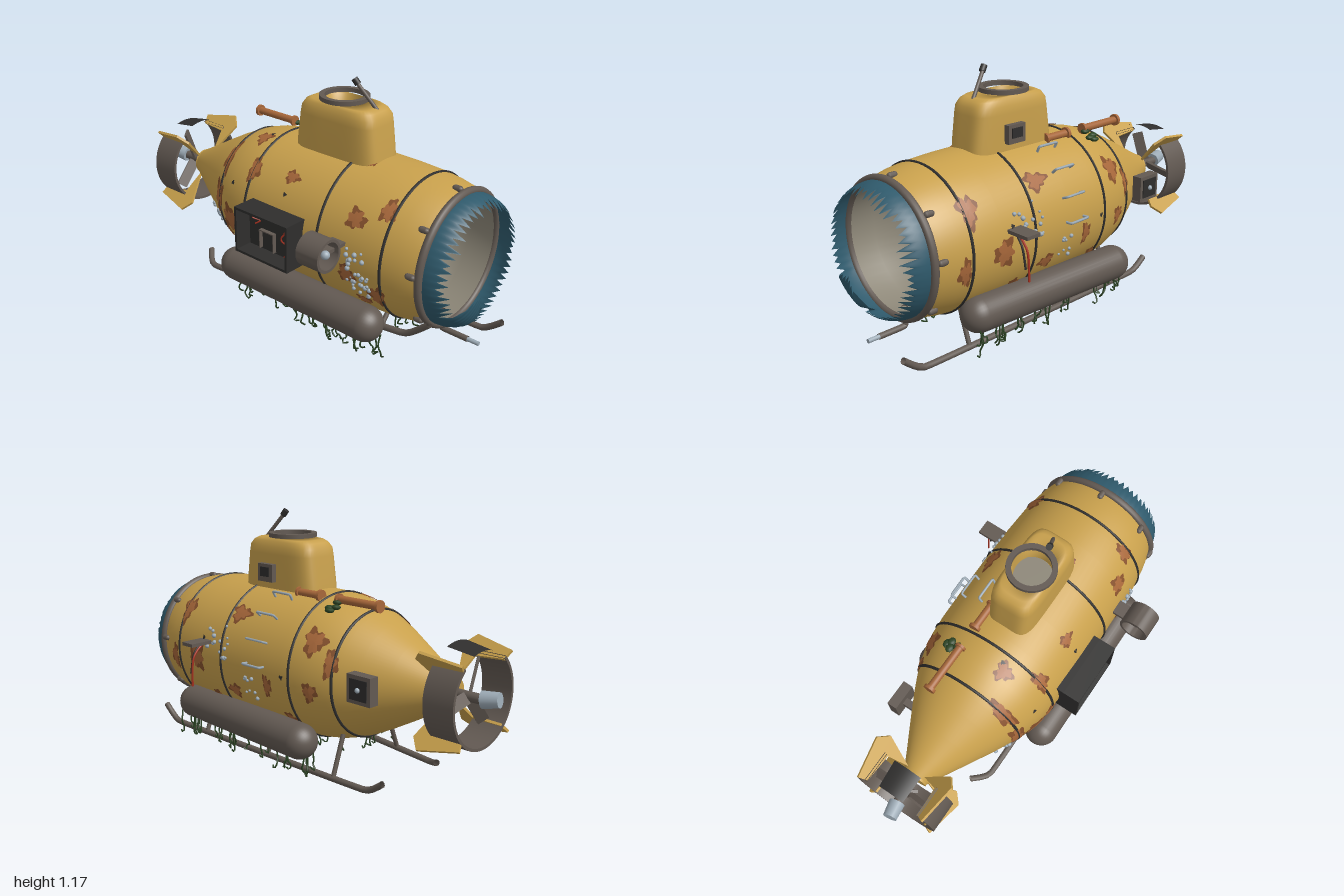
import * as THREE from 'three';
import { mergeGeometries, toCreasedNormals } from 'three/addons/utils/BufferGeometryUtils.js';

const mat = (name, color) => new THREE.MeshStandardMaterial({ name, color, side: THREE.DoubleSide });
const V = (p) => new THREE.Vector3(...p);
const CY = 0.475, CZ = -0.045, RAD = Math.PI / 180;

// hull radius along x
const PROFILE = [[-0.78, 0.065], [-0.7, 0.108], [-0.58, 0.175], [-0.46, 0.24], [-0.38, 0.279], [-0.32, 0.304], [-0.25, 0.325],
  [-0.17, 0.339], [-0.08, 0.346], [0.1, 0.35], [0.3, 0.35], [0.5, 0.347], [0.62, 0.341], [0.72, 0.329], [0.79, 0.314], [0.83, 0.3]];
function hullR(x) {
  let i = 1;
  while (i < PROFILE.length - 1 && PROFILE[i][0] < x) i++;
  const [x0, r0] = PROFILE[i - 1], [x1, r1] = PROFILE[i];
  return r0 + (r1 - r0) * (x - x0) / (x1 - x0);
}
// point on the hull: a = 0 is the top, 90 degrees the front
const onHull = (x, a, lift = 0) => [x, CY + (hullR(x) + lift) * Math.cos(a), CZ + (hullR(x) + lift) * Math.sin(a)];

function surface(rows, closed) {
  const n = rows[0].length, idx = [];
  for (let j = 0; j < rows.length - 1; j++)
    for (let i = 0; i < (closed ? n : n - 1); i++) {
      const a = j * n + i, b = j * n + (i + 1) % n;
      idx.push(a, a + n, b, b, a + n, b + n);
    }
  const g = new THREE.BufferGeometry();
  g.setAttribute('position', new THREE.Float32BufferAttribute(rows.flat(2), 3));
  g.setIndex(idx);
  g.computeVertexNormals();
  return g;
}
const latheX = (pts, seg = 48, start = 0, len = Math.PI * 2) =>
  new THREE.LatheGeometry(pts.map(([x, r]) => new THREE.Vector2(r, x)), seg, start, len).rotateZ(-Math.PI / 2);
const shroudGeo = (x0, x1, ri, ro, start, len) =>
  toCreasedNormals(latheX([[x0, ri], [x0, ro], [x1, ro], [x1, ri], [x0, ri]], 48, start, len), 0.6);
const tubeGeo = (pts, r, seg = 16, sides = 8, tension = 0.5) =>
  new THREE.TubeGeometry(new THREE.CatmullRomCurve3(pts.map(V), false, 'catmullrom', tension), seg, r, sides);
function rodGeo(a, b, r, r2 = r) {
  const d = V(b).sub(V(a)), g = new THREE.CylinderGeometry(r2, r, d.length(), 20);
  g.applyQuaternion(new THREE.Quaternion().setFromUnitVectors(V([0, 1, 0]), d.clone().normalize()));
  return g.translate(...V(a).addScaledVector(d, 0.5).toArray());
}
const boxGeo = (x0, x1, y0, y1, z0, z1) =>
  new THREE.BoxGeometry(x1 - x0, y1 - y0, z1 - z0).translate((x0 + x1) / 2, (y0 + y1) / 2, (z0 + z1) / 2);

export function createModel() {
  const root = new THREE.Group();
  root.name = 'wreckedSubmarine';
  const M = {
    yellow: mat('hullYellow', 0xc8a04c), metal: mat('greyMetal', 0x625952), dark: mat('darkMetal', 0x2f2e2d),
    inside: mat('interiorBeige', 0x8d8778), glass: mat('tealGlass', 0x2f5a6c), rust: mat('rust', 0x85502c),
    copper: mat('rustOrange', 0xa7673a), red: mat('wireRed', 0xa83220), weed: mat('weedGreen', 0x2c4424), steel: mat('paleSteel', 0x9dabb6),
  };
  let seed = 7;
  const rnd = (a = 0, b = 1) => { seed = (seed * 16807) % 2147483647; return a + (b - a) * seed / 2147483647; };
  const add = (name, geo, m, pos) => {
    const mesh = new THREE.Mesh(Array.isArray(geo) ? mergeGeometries(geo) : geo, m);
    mesh.name = name;
    if (pos) mesh.position.set(...pos);
    root.add(mesh);
    return mesh;
  };
  const axis = [0, CY, CZ];

  // hull, cabin lining, window rim and seams
  add('hull', latheX(PROFILE, 72), M.yellow, axis);
  add('tailCap', rodGeo([-0.79, 0, 0], [-0.775, 0, 0], 0.064), M.yellow, axis);
  add('cabinLining', latheX([[0.45, 0.001], [0.45, 0.3], [0.7, 0.3], [0.83, 0.285]]), M.inside, axis);
  add('windowRim', new THREE.TorusGeometry(0.303, 0.018, 12, 64).rotateY(Math.PI / 2), M.metal, [0.832, CY, CZ]);
  add('seams', [-0.35, -0.135, 0.32, 0.66].map(x =>
    new THREE.TorusGeometry(hullR(x), 0.007, 6, 72).rotateY(Math.PI / 2).translate(x, CY, CZ)), M.dark);
  add('rimClamps', [48, 85, 132, 180, 228, 275, 312, 0].map(d =>
    new THREE.CapsuleGeometry(0.014, 0.022, 4, 10).rotateZ(Math.PI / 2).translate(...onHull(0.8, d * RAD, 0.006))), M.metal);

  // broken glass dome: jagged teeth with one large shard
  const rows = Array.from({ length: 7 }, () => []);
  for (let i = 0; i < 112; i++) {
    const a = i / 112 * Math.PI * 2, off = Math.abs(i / 112 * 360 - 146);
    let tip = i % 2 ? rnd(0.245, 0.272) : rnd(0.281, 0.29);
    if (off < 19) tip = (i % 2 ? 0.11 : 0.15) + off * 0.003;
    rows.forEach((row, j) => {
      const r = 0.3 - (0.3 - tip) * (j / 6) ** 2;
      row.push([0.838 + 0.157 * Math.sqrt(Math.max(0, 1 - (r / 0.3) ** 5)), CY + r * Math.cos(a), CZ + r * Math.sin(a)]);
    });
  }
  add('brokenWindow', surface(rows, true), M.glass);

  // tower: rounded rectangle loops closing in to a round hatch
  const levels = [[0.77, 0.236, 0.114, 5], [0.84, 0.23, 0.114, 5], [0.97, 0.212, 0.113, 5], [1.005, 0.206, 0.11, 5],
    [1.03, 0.19, 0.1, 4.5], [1.042, 0.165, 0.092, 4], [1.044, 0.1, 0.088, 2], [0.93, 0.1, 0.088, 2]];
  add('tower', surface(levels.map(([y, hx, hz, e]) => Array.from({ length: 64 }, (_, i) => {
    const a = -i / 64 * Math.PI * 2, c = Math.cos(a), s = Math.sin(a);
    const k = (Math.abs(c) ** e + Math.abs(s) ** e) ** (-1 / e);
    return [0.195 + hx * c * k, y, CZ + hz * s * k];
  })).reverse(), true), M.yellow);
  add('hatchFloor', new THREE.CylinderGeometry(0.1, 0.1, 0.01, 32), M.inside, [0.185, 0.95, CZ]);
  add('hatchRing', toCreasedNormals(new THREE.LatheGeometry([[0.09, 1.048], [0.115, 1.048], [0.115, 1.068], [0.09, 1.068], [0.09, 1.048]]
    .map(p => new THREE.Vector2(...p)), 40), 0.6), M.metal, [0.182, 0, CZ]);
  add('periscope', rodGeo([0.365, 1.03, -0.05], [0.27, 1.15, -0.015], 0.009), M.metal);
  add('periscopeHead', rodGeo([0.28, 1.14, -0.017], [0.262, 1.164, -0.011], 0.015), M.dark);
  add('towerPanel', boxGeo(0.18, 0.28, 0.84, 0.925, -0.185, -0.15), M.metal);
  add('towerPanelScreen', boxGeo(0.2, 0.26, 0.865, 0.91, -0.189, -0.184), M.dark);

  // open equipment box with loose wires
  add('equipmentBox', [boxGeo(-0.085, 0.24, 0.36, 0.585, 0.17, 0.32), boxGeo(-0.085, -0.073, 0.36, 0.585, 0.32, 0.405),
    boxGeo(0.228, 0.24, 0.36, 0.585, 0.32, 0.405), boxGeo(-0.085, 0.24, 0.36, 0.372, 0.32, 0.405),
    boxGeo(-0.085, 0.24, 0.573, 0.585, 0.32, 0.405)], M.dark);
  add('equipmentRack', [boxGeo(0.005, 0.01, 0.38, 0.47, 0.32, 0.34), boxGeo(0.09, 0.095, 0.38, 0.47, 0.32, 0.34),
    boxGeo(0.005, 0.095, 0.47, 0.475, 0.32, 0.34)], M.metal);
  add('looseWires', [[-0.03, 0.5], [0.15, 0.39], [0.17, 0.46], [0.19, 0.4]].map(([x, y]) => tubeGeo(
    [0, 1, 2, 3, 4].map(i => [x + (i % 2) * 0.025 + i * 0.004, 0.57 - (0.57 - y) * i / 4, 0.33 + (i % 3) * 0.012]), 0.004, 20, 5)), M.red);

  // side thruster and the torn mount opposite
  add('sideThruster', shroudGeo(0.38, 0.5, 0.062, 0.075), M.metal, [0, 0.55, 0.425]);
  add('sideThrusterStrut', boxGeo(0.405, 0.478, 0.542, 0.558, 0.27, 0.43), M.metal);
  add('sideThrusterHub', new THREE.SphereGeometry(0.02, 16, 12), M.steel, [0.48, 0.55, 0.425]);
  add('tornMount', boxGeo(0.4, 0.476, 0.542, 0.558, -0.5, -0.36), M.metal);
  add('hangingWire', tubeGeo([[0.44, 0.54, -0.4], [0.44, 0.51, -0.44], [0.44, 0.46, -0.468], [0.44, 0.34, -0.475]], 0.005), M.red);
  add('hangingCable', tubeGeo([[0.45, 0.54, -0.41], [0.455, 0.49, -0.45], [0.455, 0.4, -0.47]], 0.005), M.dark);

  // pontoons, the back one knocked askew
  for (const [name, a, b] of [['leftPontoon', [-0.2, 0.2, 0.285], [0.59, 0.2, 0.285]], ['rightPontoon', [-0.2, 0.2, -0.38], [0.6, 0.2, -0.335]]]) {
    const d = V(b).sub(V(a)), m = add(name, new THREE.CapsuleGeometry(0.082, d.length(), 12, 32), M.metal);
    m.quaternion.setFromUnitVectors(V([0, 1, 0]), d.clone().normalize());
    m.position.copy(V(a)).addScaledVector(d, 0.5);
  }

  // skids and struts
  add('leftSkid', tubeGeo([[-0.59, 0.065, 0.11], [-0.5, 0.03, 0.175], [0.1, 0.08, 0.18], [0.72, 0.155, 0.18], [0.85, 0.255, 0.185]], 0.015, 50, 10, 0.15), M.metal);
  add('rightSkid', tubeGeo([[-0.59, 0.075, -0.27], [-0.49, 0.02, -0.27], [0.2, 0.017, -0.27], [0.84, 0.018, -0.27], [0.95, 0.09, -0.27]], 0.015, 50, 10, 0.15), M.metal);
  add('skidStruts', [-0.3, 0.135, 0.6].flatMap((x, i) => [rodGeo([x, 0.02, -0.27], [x, 0.22, -0.2], 0.011),
    rodGeo([x, 0.045 + i * 0.045, 0.18], [x, 0.22, 0.11], 0.011)]), M.metal);
  add('bowPipe', tubeGeo([[0.77, 0.19, CZ], [0.77, 0.1, CZ], [0.79, 0.095, CZ], [0.91, 0.095, CZ]], 0.014, 24, 10, 0.1), M.metal);
  add('bowPipeTip', rodGeo([0.9, 0.095, CZ], [0.965, 0.095, CZ], 0.01), M.steel);

  // tail: broken duct, fins, propeller
  add('tailDuct', shroudGeo(-0.935, -0.785, 0.203, 0.216, 312 * RAD, 276 * RAD), M.metal, axis);
  add('tornDuctPiece', new THREE.CylinderGeometry(0.222, 0.2, 0.13, 8, 1, true, 250 * RAD, 38 * RAD).rotateZ(-Math.PI / 2), M.dark, [-0.86, CY + 0.005, CZ]);
  const fin = new THREE.Shape([[-0.945, 0.25], [-0.755, 0.295], [-0.71, 0.24], [-0.765, 0.07], [-0.79, 0.19], [-0.93, 0.2]].map(p => new THREE.Vector2(...p)));
  add('tailFins', [45, 135, 225, 315].map(d => new THREE.ExtrudeGeometry(fin, { depth: 0.012, bevelEnabled: false })
    .translate(0, 0, -0.006).rotateX(d * RAD)), M.yellow, axis);
  add('propellerShaft', rodGeo([-0.94, 0, 0], [-0.77, 0, 0], 0.022), M.metal, axis);
  add('propellerBlades', [20, 140, 260].map(d => new THREE.BoxGeometry(0.012, 0.15, 0.055).rotateY(0.6)
    .translate(-0.86, 0.095, 0).rotateX(d * RAD)), M.metal, axis);
  add('propellerCap', rodGeo([-1, 0.01, 0.015], [-0.925, 0, 0], 0.033, 0.038), M.steel, axis);

  // lamp box by the tail
  add('lampBox', [boxGeo(-0.58, -0.45, 0.43, 0.555, -0.345, -0.295), boxGeo(-0.535, -0.5, 0.475, 0.51, -0.3, -0.23)], M.metal);
  add('lampFace', boxGeo(-0.563, -0.467, 0.447, 0.538, -0.349, -0.344), M.dark);
  add('lampBulb', new THREE.SphereGeometry(0.012, 12, 8), M.steel, [-0.515, 0.493, -0.35]);

  // broken deck pipe and its plant
  const py = 0.812, pz = -0.155;
  add('deckPipe', [[-0.47, -0.22], [-0.12, 0.03]].flatMap(([a, b]) => [rodGeo([a, py, pz], [b, py, pz], 0.018),
    rodGeo([a, py, pz], [a + 0.015, py, pz], 0.028), rodGeo([b - 0.012, py, pz], [b, py, pz], 0.026)]), M.copper);
  add('deckPlant', [[-0.23, -0.17], [-0.25, -0.2], [-0.22, -0.21], [-0.235, -0.225]].map(([x, z]) =>
    new THREE.SphereGeometry(0.024, 8, 6).scale(1, 0.5, 0.8).translate(x, 0.808 - (pz - z) * 0.5, z)), M.weed);

  // ladder rungs up the back
  add('ladderRungs', [-28, -48, -68, -86].map(d => tubeGeo([[0.02, 0], [0.02, 0.03], [0.13, 0.03], [0.13, 0]]
    .map(([x, l]) => onHull(x, d * RAD, l)), 0.006, 24, 6, 0.1)), M.steel);

  // rust blotches lying on the hull
  const blotch = (x, deg, sx, sv, lift) => {
    const p = rnd(0, 6), q = rnd(0, 6), grid = [0.01, 0.35, 0.7, 1].map(t => Array.from({ length: 30 }, (_, i) => {
      const b = i / 30 * Math.PI * 2, k = t * (0.85 + 0.2 * Math.sin(3 * b + p) + 0.16 * Math.sin(7 * b + q));
      const px = Math.min(0.81, x + sx * k * Math.cos(b));
      return onHull(px, deg * RAD + sv * k * Math.sin(b) / hullR(x), lift);
    }));
    return surface(grid, true);
  };
  const spots = [[-0.35, 45, 0.035, 0.11], [-0.36, 85, 0.04, 0.1], [-0.25, 100, 0.075, 0.08], [-0.16, 92, 0.05, 0.05], [-0.17, 118, 0.04, 0.05],
    [-0.31, 122, 0.04, 0.06], [-0.13, 50, 0.04, 0.07], [-0.21, 20, 0.05, 0.05], [0.1, 46, 0.045, 0.035], [0.5, 58, 0.055, 0.05],
    [0.63, 45, 0.04, 0.06], [0.64, 112, 0.045, 0.06], [0.56, 122, 0.045, 0.03], [0.49, 100, 0.05, 0.05], [0.41, 12, 0.02, 0.03],
    [-0.24, -58, 0.06, 0.07], [0.25, -50, 0.07, 0.05], [0.64, -55, 0.05, 0.08], [-0.34, -72, 0.035, 0.07], [0.5, -92, 0.06, 0.07],
    [0, -100, 0.03, 0.06], [0.24, -112, 0.05, 0.04], [-0.25, -98, 0.04, 0.05], [0.7, -98, 0.035, 0.07], [-0.1, -128, 0.05, 0.05],
    [0.4, -128, 0.05, 0.06], [0.1, 165, 0.07, 0.05], [0.5, 170, 0.06, 0.05]];
  add('rustBlotches', spots.map(s => blotch(...s, 0.004)), M.rust);
  add('rustCentres', spots.map(([x, d, a, b]) => blotch(x, d, a * 0.75, b * 0.75, 0.006)), M.copper);
  add('hullHoles', [[-0.24, 66], [-0.18, 15], [0.1, 60], [-0.1, -90], [0.45, -75]].map(([x, d]) => blotch(x, d, 0.011, 0.011, 0.008)), M.dark);

  // barnacle clusters
  const barnacles = [];
  for (const [x, d, sx, sd, n] of [[0.55, 98, 0.06, 18, 32], [-0.43, 122, 0.04, 18, 16], [0.35, -75, 0.08, 14, 16], [0.1, -105, 0.06, 10, 10]])
    for (let i = 0; i < n; i++)
      barnacles.push(new THREE.SphereGeometry(rnd(0.006, 0.012), 8, 6).translate(...onHull(x + sx * rnd(-1, 1), (d + sd * rnd(-1, 1)) * RAD, 0.003)));
  add('barnacles', barnacles, M.steel);

  // weeds hanging from the pontoons and keel
  const weeds = [];
  for (const [z, y, w, n] of [[0.285, 0.135, 0.03, 26], [-0.37, 0.135, 0.035, 26], [CZ, 0.15, 0.14, 20]])
    for (let i = 0; i < n; i++) {
      const x = rnd(-0.25, 0.66), zz = z + rnd(-w, w), end = rnd(0.035, 0.075), s = () => rnd(-0.012, 0.012);
      weeds.push(tubeGeo([[x, y + 0.02, zz], [x + s(), y * 0.75, zz + s()], [x + s(), end + 0.025, zz + s()], [x + s(), end, zz + s()], [x + 0.018, end + 0.01, zz]], 0.004, 10, 5));
    }
  add('weeds', weeds, M.weed);
  return root;
}
